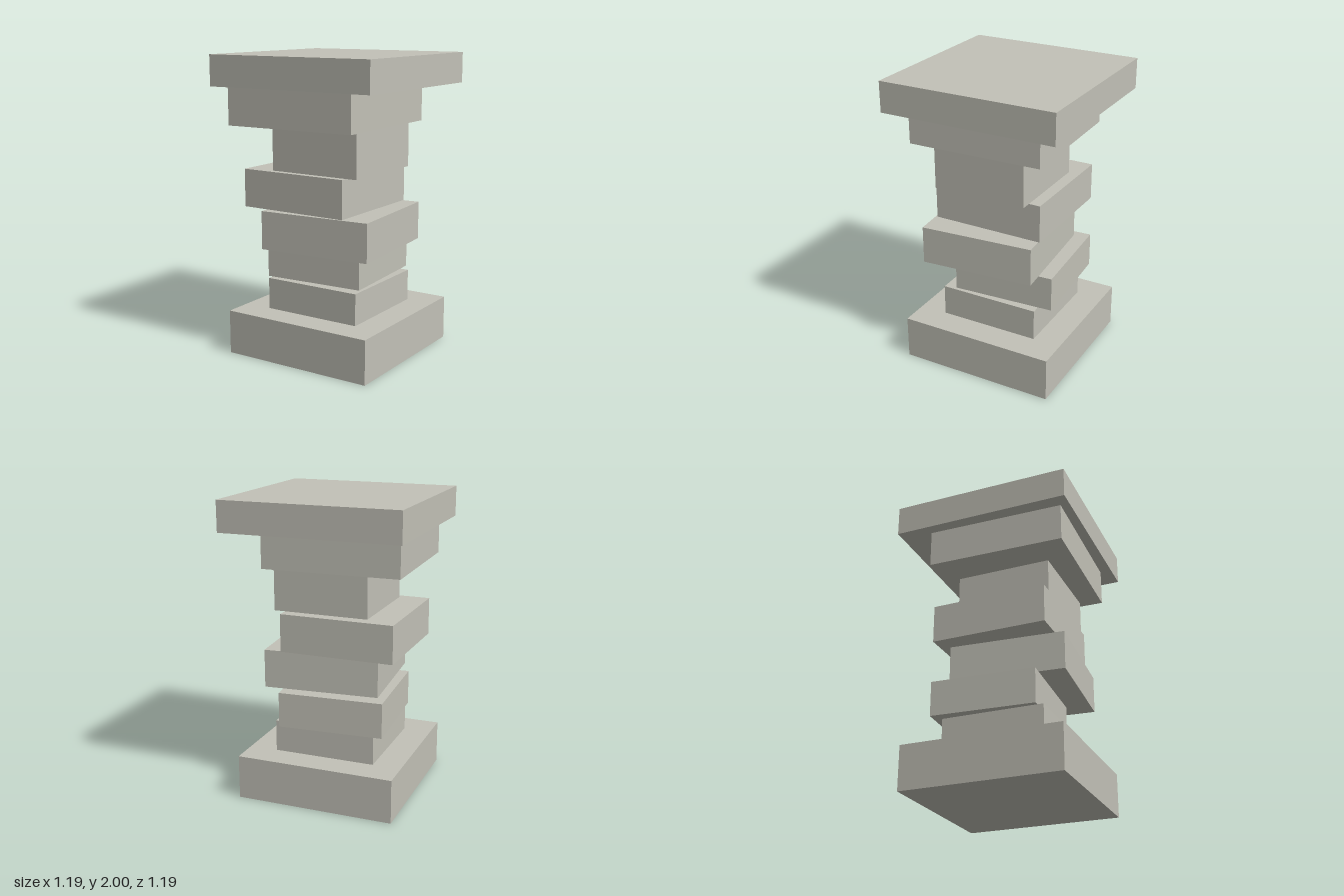
import * as THREE from 'three';

// Stacked square slabs: name, bottom y, top y, side, centre x, centre z, turn in degrees
const SLABS = [
  ['base', 0, 0.295, 1.066, 0, 0, 0],
  ['lowerBlock', 0.295, 0.507, 0.686, 0, 0, 0],
  ['shaftBlock1', 0.507, 0.741, 0.697, -0.049, -0.066, 3.45],
  ['shaftBlock2', 0.741, 0.996, 0.769, 0.058, 0.06, 4.3],
  ['shaftBlock3', 0.996, 1.249, 0.769, -0.0925, 0.027, -0.6],
  ['shaftBlock4', 1.249, 1.547, 0.645, 0.045, 0.045, -0.4],
  ['upperBlock', 1.547, 1.797, 0.919, -0.0515, 0.0685, 1.25],
  ['capital', 1.797, 2, 1.194, 0, 0, 0],
];

export function createModel() {
  const group = new THREE.Group();
  group.name = 'stonePillar';
  const stone = new THREE.MeshStandardMaterial({ color: 0xc2c1b7 });
  stone.name = 'stone';

  for (const [name, bottom, top, side, x, z, turn] of SLABS) {
    const slab = new THREE.Mesh(new THREE.BoxGeometry(side, top - bottom, side), stone);
    slab.name = name;
    slab.position.set(x, (bottom + top) / 2, z);
    slab.rotation.y = THREE.MathUtils.degToRad(turn);
    group.add(slab);
  }
  return group;
}
